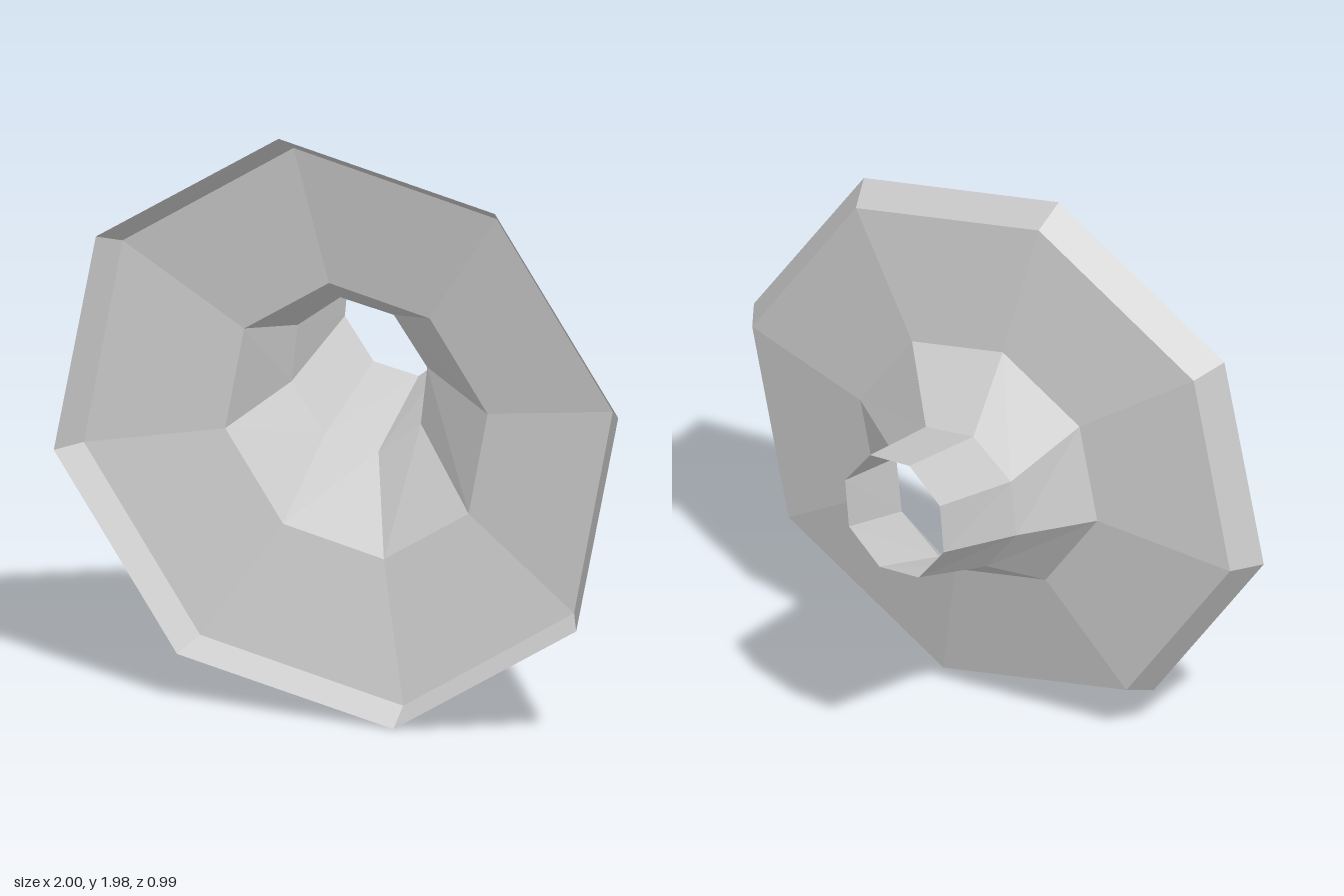
import * as THREE from 'three';

// Octagonal rings from front rim to rear opening:
// centre c, half-axes u (upper corner) and v (side corner)
const RINGS = [
  { c: [0, 1, 0.365], u: [-0.22, 0.99, -0.003], v: [1, 0.17, -0.13] },
  { c: [-0.012, 0.995, 0.26], u: [-0.21, 0.935, -0.003], v: [0.937, 0.16, -0.122] },
  { c: [-0.025, 0.992, 0.182], u: [-0.105, 0.463, -0.001], v: [0.465, 0.078, -0.06] },
  { c: [-0.18, 1.052, -0.115], u: [-0.07, 0.258, 0.005], v: [0.25, 0.058, -0.014] },
  { c: [-0.23, 1.17, -0.49], u: [-0.065, 0.222, 0], v: [0.215, 0.055, 0] },
];
const SIDES = 8;

function corner(ring, k) {
  const a = (k / SIDES) * Math.PI * 2;
  return ring.c.map((c, i) => c + ring.u[i] * Math.cos(a) + ring.v[i] * Math.sin(a));
}

// Band of flat panels joining two neighbouring rings
function band(front, back) {
  const pos = [];
  for (let k = 0; k < SIDES; k++) {
    const a = corner(front, k), b = corner(front, k + 1);
    const c = corner(back, k + 1), d = corner(back, k);
    pos.push(...a, ...b, ...d, ...b, ...c, ...d);
  }
  const geo = new THREE.BufferGeometry();
  geo.setAttribute('position', new THREE.Float32BufferAttribute(pos, 3));
  geo.computeVertexNormals();
  return geo;
}

export function createModel() {
  const group = new THREE.Group();
  group.name = 'flaredHorn';
  const material = new THREE.MeshStandardMaterial({
    color: 0xcccccc, flatShading: true, side: THREE.DoubleSide,
  });
  // Open thin shell: rim, dish, tapering throat, neck tube
  ['rim', 'dish', 'throat', 'neck'].forEach((name, i) => {
    const mesh = new THREE.Mesh(band(RINGS[i], RINGS[i + 1]), material);
    mesh.name = name;
    group.add(mesh);
  });
  return group;
}
